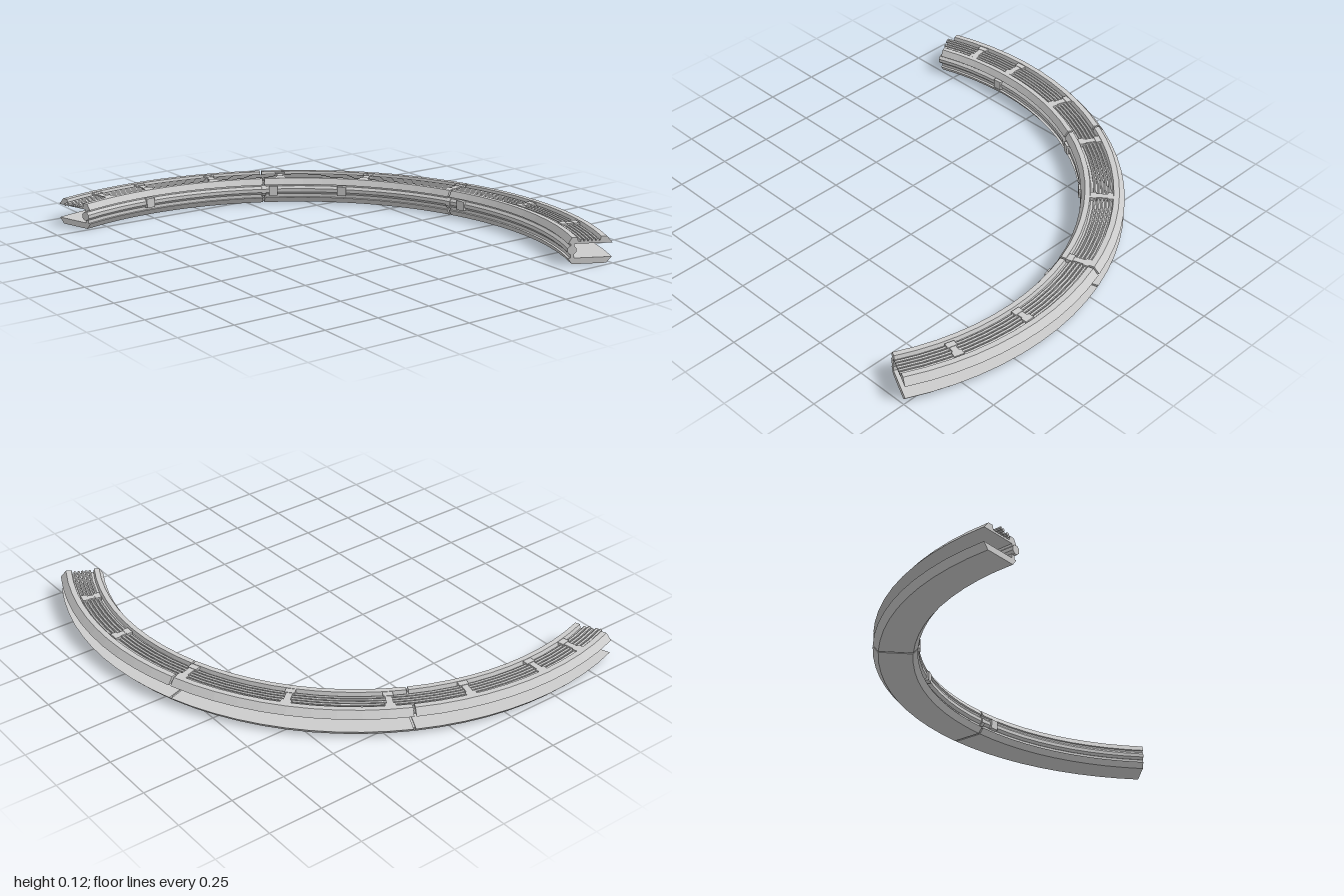
import * as THREE from 'three';

// Centre of the curve on the ground plane
const CX = -0.47, CZ = 0.37;
const START = -108, SPAN = 45, SECTIONS = 3;
const END = START + SPAN * SECTIONS;
const material = new THREE.MeshStandardMaterial({ color: 0xcccccc, flatShading: true });

// Sweep a closed counter-clockwise (radius, height) profile between two angles in degrees
function sweep(name, profile, a0, a1, steps = 1) {
  const pos = [];
  const ring = (k) => {
    const a = THREE.MathUtils.degToRad(a0 + ((a1 - a0) * k) / steps);
    return profile.map(([r, y]) => [CX + r * Math.cos(a), y, CZ + r * Math.sin(a)]);
  };
  const tri = (a, b, c) => pos.push(...a, ...b, ...c);
  for (let k = 0; k < steps; k++) {
    const p = ring(k), q = ring(k + 1);
    for (let i = 0; i < p.length; i++) {
      const j = (i + 1) % p.length;
      tri(p[i], p[j], q[j]);
      tri(p[i], q[j], q[i]);
    }
  }
  // End caps
  const first = ring(0), last = ring(steps);
  const faces = THREE.ShapeUtils.triangulateShape(profile.map(([r, y]) => new THREE.Vector2(r, y)), []);
  for (const [a, b, c] of faces) {
    tri(first[a], first[c], first[b]);
    tri(last[a], last[b], last[c]);
  }
  const geometry = new THREE.BufferGeometry();
  geometry.setAttribute('position', new THREE.Float32BufferAttribute(pos, 3));
  geometry.computeVertexNormals();
  const mesh = new THREE.Mesh(geometry, material);
  mesh.name = name;
  return mesh;
}

// Profile helpers
const rect = (r0, r1, y0, y1) => [[r0, y0], [r1, y0], [r1, y1], [r0, y1]];
const round = (r, y, radius, sides) => Array.from({ length: sides }, (_, i) => {
  const a = ((i + 0.5) / sides) * Math.PI * 2;
  return [r + radius * Math.cos(a), y + radius * Math.sin(a)];
});

const upperTray = [
  [1.175, 0.09], [1.37, 0.09], [1.345, 0.12], [1.32, 0.12],
  [1.315, 0.1], [1.22, 0.1], [1.215, 0.118], [1.192, 0.118],
];
const lowerTray = [[1.195, 0], [1.345, 0], [1.37, 0.027], [1.175, 0.027]];

export function createModel() {
  const group = new THREE.Group();
  group.name = 'curvedTrack';

  // Three equal track sections with thin seams between them
  for (let s = 0; s < SECTIONS; s++) {
    const a0 = START + s * SPAN + (s > 0 ? 0.2 : 0);
    const a1 = START + (s + 1) * SPAN - (s < SECTIONS - 1 ? 0.2 : 0);
    const section = new THREE.Group();
    section.name = 'trackSection' + (s + 1);
    section.add(
      sweep('upperTray', upperTray, a0, a1, 10),
      sweep('lowerTray', lowerTray, a0, a1, 10),
      sweep('innerWeb', rect(1.187, 1.203, 0.027, 0.09), a0, a1, 10),
    );
    group.add(section);

    // Recessed joints inside the seams, with a collar on the pipe
    if (s > 0) {
      const a = START + s * SPAN;
      group.add(
        sweep('upperJoint', rect(1.195, 1.35, 0.091, 0.099), a - 0.4, a + 0.4),
        sweep('lowerJoint', rect(1.195, 1.35, 0.006, 0.022), a - 0.4, a + 0.4),
        sweep('pipeCollar', round(1.194, 0.06, 0.027, 8), a - 0.5, a + 0.5),
      );
    }
  }

  // Pipe along the inner side
  group.add(sweep('innerPipe', round(1.193, 0.062, 0.021, 8), START - 0.6, END, 30));

  // Clamps on the inner pipe
  for (const a of [-91, -60.8, -44.7, -14.4]) {
    group.add(sweep('pipeClamp', rect(1.165, 1.2, 0.04, 0.084), a - 1, a + 1));
  }

  // Cables lying in the upper channel, with uneven free ends
  [1.236, 1.253, 1.27, 1.287, 1.304].forEach((r, i) => {
    const overhang = [0.5, 0.9, 0.6, 1.2, 1.3][i];
    group.add(sweep('cable', round(r, 0.104, 0.007, 6), START - overhang, END + 0.15, 30));
  });

  // Straps holding the cables: a narrow bar with a wider pad at each end
  const straps = [[-100.4, 0], [-90, 0], [-74.3, 0], [-59, 0], [-40, 0], [-19, 0], [0.4, 0.01], [16, 0.01]];
  for (const [a, inset] of straps) {
    const r0 = 1.216 + inset, r1 = 1.322 - inset;
    const strap = new THREE.Group();
    strap.name = 'cableStrap';
    strap.add(
      sweep('strapBar', rect(r0 + 0.02, r1 - 0.02, 0.1, 0.115), a - 0.65, a + 0.65),
      sweep('innerPad', rect(r0, r0 + 0.028, 0.1, 0.117), a - 1, a + 1),
      sweep('outerPad', rect(r1 - 0.028, r1, 0.1, 0.117), a - 1, a + 1),
    );
    group.add(strap);
  }

  return group;
}
